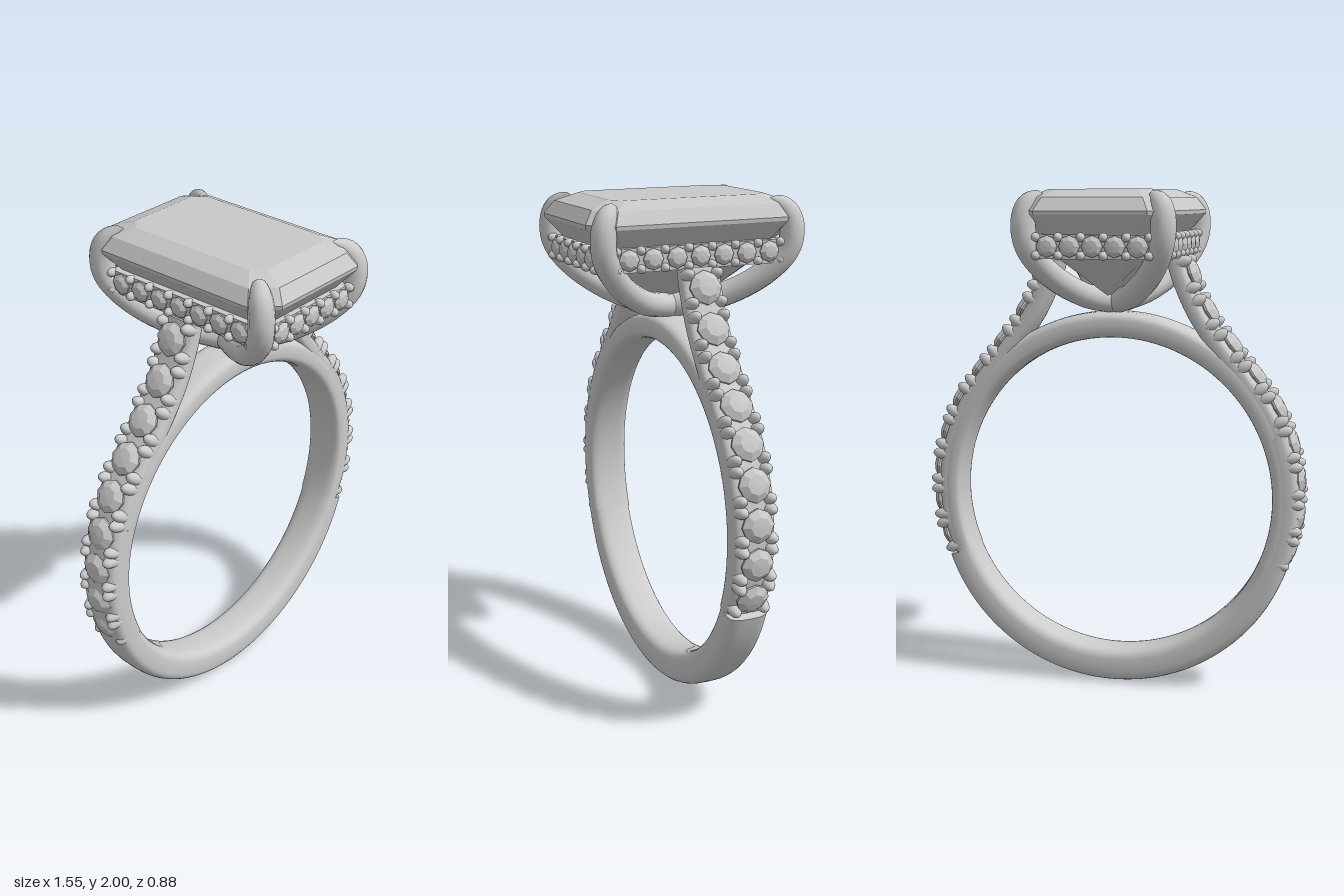
import * as THREE from 'three';

const metal = new THREE.MeshStandardMaterial({ color: 0xcccccc });
metal.name = 'silver metal';
const crystal = new THREE.MeshStandardMaterial({ color: 0xc8c8c8 });
crystal.name = 'pale crystal';

function add(parent, name, geometry, material) {
  const m = new THREE.Mesh(geometry, material);
  m.name = name;
  parent.add(m);
  return m;
}

function flat(geometry) {
  const g = geometry.index ? geometry.toNonIndexed() : geometry;
  g.computeVertexNormals();
  return g;
}

function build(pos, idx) {
  const g = new THREE.BufferGeometry();
  g.setAttribute('position', new THREE.Float32BufferAttribute(pos, 3));
  g.setIndex(idx);
  return g;
}

// Sweep a rounded-rectangle section along sections {x, y, nx, ny, h, w}, capped at both ends
function sweep(sections) {
  const N = 28, pos = [], idx = [];
  const soft = v => Math.sign(v) * Math.pow(Math.abs(v), 0.6);
  const ring = s => {
    for (let j = 0; j < N; j++) {
      const t = j / N * Math.PI * 2, a = soft(Math.cos(t)) * s.h;
      pos.push(s.x + s.nx * a, s.y + s.ny * a, soft(Math.sin(t)) * s.w);
    }
  };
  sections.forEach(ring);
  for (let i = 0; i < sections.length - 1; i++) for (let j = 0; j < N; j++) {
    const k = (j + 1) % N, a = i * N + j, b = i * N + k;
    idx.push(a, a + N, b, b, a + N, b + N);
  }
  [sections[0], sections[sections.length - 1]].forEach((s, e) => {
    const base = pos.length / 3;
    ring(s);
    pos.push(s.x, s.y, 0);
    for (let j = 0; j < N; j++) {
      const a = base + j, b = base + (j + 1) % N;
      idx.push(base + N, e ? b : a, e ? a : b);
    }
  });
  const g = build(pos, idx);
  g.computeVertexNormals();
  return g;
}

// Circular part of the band, with a varying outer radius
function arc(from, to, outer) {
  const list = [], n = 72, inner = 0.64;
  for (let i = 0; i <= n; i++) {
    const a = THREE.MathUtils.degToRad(from + (to - from) * i / n);
    const nx = Math.cos(a), ny = Math.sin(a), o = outer(ny), r = (inner + o) / 2;
    list.push({ x: nx * r, y: 0.78 + ny * r, nx, ny, h: (o - inner) / 2, w: 0.085 });
  }
  return sweep(list);
}

// Stack of cut-corner rectangles: levels of [halfX, halfZ, corner, y]
function steppedStone(levels) {
  const pos = [], idx = [];
  for (const [x, z, c, y] of levels) {
    const p = [[x, z - c], [x, c - z], [x - c, -z], [c - x, -z], [-x, c - z], [-x, z - c], [c - x, z], [x - c, z]];
    p.forEach(q => pos.push(q[0], y, q[1]));
  }
  for (let i = 0; i < levels.length - 1; i++) for (let j = 0; j < 8; j++) {
    const a = i * 8 + j, b = i * 8 + (j + 1) % 8;
    idx.push(a, b, a + 8, b, b + 8, a + 8);
  }
  const t = (levels.length - 1) * 8;
  for (let j = 1; j < 7; j++) idx.push(t, t + j, t + j + 1);
  return flat(build(pos, idx));
}

// Small round gem, crown pointing along +y
const gemGeometry = flat(new THREE.LatheGeometry(
  [[0, -0.05], [0.066, -0.008], [0.066, 0.0], [0.038, 0.02], [0, 0.023]].map(p => new THREE.Vector2(...p)), 8));
const beadGeometry = new THREE.SphereGeometry(1, 14, 10);

function shoulder() {
  const g = new THREE.Group();
  g.name = 'shoulder';
  const curve = new THREE.CatmullRomCurve3([[0.705, 0.5], [0.75, 0.62], [0.77, 0.76], [0.765, 0.9], [0.735, 1.03], [0.675, 1.17],
    [0.58, 1.305], [0.48, 1.43], [0.395, 1.55], [0.335, 1.68], [0.31, 1.76]].map(p => new THREE.Vector3(p[0], p[1], 0)));
  const frame = u => {
    const p = curve.getPointAt(u), t = curve.getTangentAt(u);
    return { x: p.x, y: p.y, nx: t.y, ny: -t.x };
  };
  // Bed carrying the stones
  const list = [];
  for (let i = 0; i <= 60; i++) {
    const f = frame(i / 60), d = 0.07;
    list.push({ ...f, x: f.x - f.nx * d, y: f.y - f.ny * d, h: 0.037, w: 0.083 });
  }
  add(g, 'shoulderBed', sweep(list), metal);
  // Gems, each held by four claws
  for (let i = 0; i < 9; i++) {
    const f = frame((i + 0.5) / 9), seat = new THREE.Group();
    seat.name = 'shoulderSetting';
    seat.position.set(f.x - f.nx * 0.022, f.y - f.ny * 0.022, 0);
    seat.rotation.z = Math.atan2(-f.nx, f.ny);
    add(seat, 'shoulderGem', gemGeometry, crystal);
    for (const sx of [-1, 1]) for (const sz of [-1, 1]) {
      const claw = add(seat, 'claw', beadGeometry, metal);
      claw.position.set(sx * 0.054, -0.024, sz * 0.059);
      claw.scale.set(0.024, 0.046, 0.026);
    }
    g.add(seat);
  }
  return g;
}

// One straight side of the gem-set rail, facing +z
function railSide(count, half, offset) {
  const g = new THREE.Group();
  g.name = 'railSide';
  const bar = add(g, 'railBar', new THREE.BoxGeometry(half * 2, 0.09, 0.05), metal);
  bar.position.set(0, 1.788, offset - 0.03);
  const step = (half * 2 - 0.01) / count;
  for (let i = 0; i < count; i++) {
    const gem = add(g, 'railGem', gemGeometry, crystal);
    gem.position.set((i - (count - 1) / 2) * step, 1.79, offset + 0.002);
    gem.rotation.x = Math.PI / 2;
    gem.scale.setScalar(0.62);
  }
  for (let i = 0; i <= count; i++) for (const s of [-1, 1]) {
    const bead = add(g, 'railBead', beadGeometry, metal);
    bead.position.set((i - count / 2) * step, 1.79 + s * 0.034, offset - 0.002);
    bead.scale.set(0.017, 0.017, 0.022);
  }
  return g;
}

// Curved prong from under the stone to a tapered tip over its corner
function prong(sx, sz) {
  const curve = new THREE.CatmullRomCurve3([[0, 1.56, 0], [0.1, 1.6, 0.16], [0.2, 1.69, 0.3], [0.255, 1.79, 0.378],
    [0.266, 1.87, 0.391], [0.253, 1.94, 0.375], [0.208, 1.985, 0.325]].map(p => new THREE.Vector3(p[0] * sx, p[1], p[2] * sz)));
  const seg = 48, rad = 14, g = new THREE.TubeGeometry(curve, seg, 0.048, rad);
  const p = g.attributes.position, v = new THREE.Vector3();
  for (let i = 0; i <= seg; i++) {
    const c = curve.getPointAt(i / seg), e = Math.max(0, (i / seg - 0.8) / 0.2);
    const k = Math.sqrt(Math.max(0, 1 - e * e));
    for (let j = 0; j <= rad; j++) {
      const n = i * (rad + 1) + j;
      v.fromBufferAttribute(p, n).sub(c).multiplyScalar(k).add(c);
      p.setXYZ(n, v.x, v.y, v.z);
    }
  }
  return g;
}

export function createModel() {
  const root = new THREE.Group();
  root.name = 'ring';

  // Band: plain lower shank, thinner arch above
  add(root, 'lowerShank', arc(-202, 22 - 44, s => 0.755 + 0.025 * Math.max(0, (-s - 0.37) / 0.63)), metal);
  add(root, 'upperArch', arc(-22, 202, s => 0.72 + 0.025 * Math.max(0, s)), metal);

  // Gem-set shoulders
  const left = shoulder(), right = shoulder();
  left.name = 'leftShoulder';
  right.name = 'rightShoulder';
  right.rotation.y = Math.PI;
  root.add(left, right);

  // Main step-cut stone
  add(root, 'centreStone', steppedStone([[0.002, 0.15, 0.001, 1.595], [0.16, 0.3, 0.04, 1.735], [0.235, 0.375, 0.065, 1.83],
    [0.298, 0.438, 0.085, 1.905], [0.3, 0.44, 0.085, 1.92], [0.265, 0.405, 0.075, 1.97], [0.198, 0.32, 0.045, 2.0]]), crystal);

  // Gem-set rail under the stone
  for (let i = 0; i < 4; i++) {
    const side = i % 2 ? railSide(7, 0.345, 0.268) : railSide(5, 0.22, 0.405);
    side.rotation.y = i * Math.PI / 2;
    root.add(side);
  }

  // Corner prongs
  for (const sx of [-1, 1]) for (const sz of [-1, 1]) add(root, 'prong', prong(sx, sz), metal);

  return root;
}
